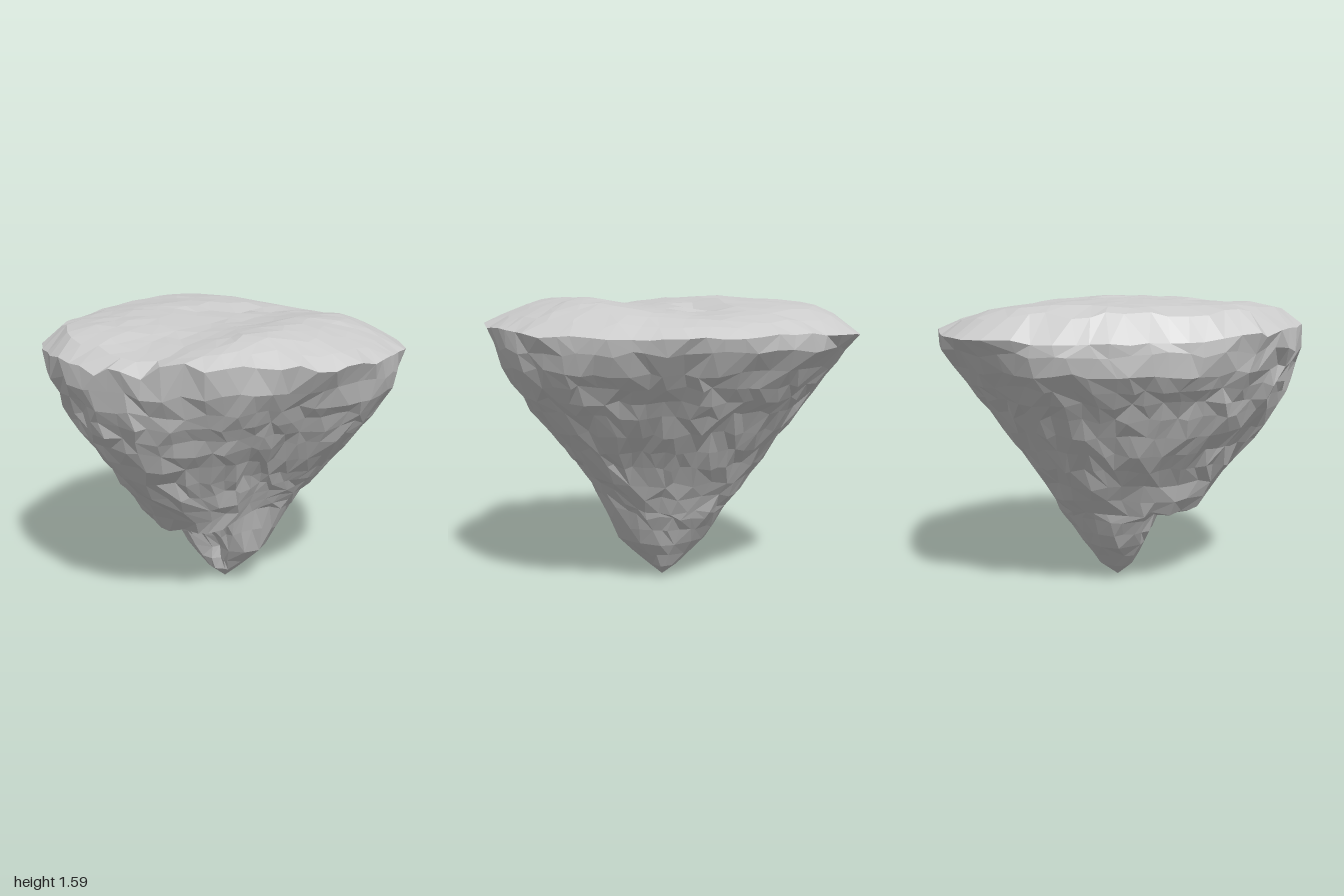
import * as THREE from 'three';

const SEG = 64;

// Rim radius every 15 degrees, from +x round through +z
const RIM = [0.96, 0.955, 0.92, 0.89, 0.965, 0.985, 1.0, 0.995, 1.0, 1.0, 0.97, 0.935,
  0.96, 0.985, 1.04, 1.12, 1.075, 1.02, 1.0, 0.99, 0.96, 0.95, 0.97, 0.955];
// Rim height every 30 degrees
const RIM_Y = [1.43, 1.46, 1.48, 1.44, 1.42, 1.4, 1.38, 1.39, 1.41, 1.41, 1.4, 1.41];

// Cliff sections: height, then radius every 30 degrees; the front overhangs at 0.4
const SECTIONS = [
  [0.07, 0.06, 0.05, 0.05, 0.05, 0.07, 0.1, 0.12, 0.12, 0.12, 0.13, 0.1, 0.07],
  [0.22, 0.24, 0.2, 0.1, 0.07, 0.14, 0.22, 0.27, 0.27, 0.25, 0.22, 0.21, 0.23],
  [0.39, 0.38, 0.29, 0.2, 0.19, 0.23, 0.31, 0.37, 0.38, 0.36, 0.32, 0.31, 0.34],
  [0.43, 0.41, 0.35, 0.37, 0.42, 0.44, 0.42, 0.4, 0.41, 0.39, 0.34, 0.33, 0.37],
  [0.6, 0.48, 0.42, 0.47, 0.56, 0.56, 0.51, 0.52, 0.53, 0.5, 0.44, 0.43, 0.47],
  [0.8, 0.58, 0.5, 0.58, 0.73, 0.7, 0.65, 0.66, 0.67, 0.64, 0.58, 0.56, 0.61],
  [1.0, 0.75, 0.64, 0.73, 0.87, 0.84, 0.78, 0.78, 0.81, 0.79, 0.73, 0.71, 0.77],
  [1.23, 0.9, 0.79, 0.87, 0.97, 0.95, 0.92, 0.94, 0.99, 0.97, 0.91, 0.88, 0.92],
  [1.33, 0.935, 0.85, 0.92, 0.985, 0.985, 0.95, 0.955, 1.03, 1.05, 0.98, 0.945, 0.945],
];

// Seeded value in -1..1
function noise(a, b, c = 0) {
  const s = Math.sin(a * 127.1 + b * 311.7 + c * 74.7) * 43758.5453;
  return (s - Math.floor(s)) * 2 - 1;
}

// Smooth periodic lookup, t in 0..1
function around(table, t) {
  const n = table.length, f = (((t % 1) + 1) % 1) * n, i = Math.floor(f), u = f - i;
  const [a, b, c, d] = [-1, 0, 1, 2].map((k) => table[(i + k + n) % n]);
  return b + 0.5 * u * (c - a + u * (2 * a - 5 * b + 4 * c - d + u * (3 * (b - c) + d - a)));
}

const polar = (t, r, y) => new THREE.Vector3(Math.cos(t * Math.PI * 2) * r, y, Math.sin(t * Math.PI * 2) * r);
const makeRing = (fn) => Array.from({ length: SEG }, (_, i) => fn(i));
// Strength of a lobe facing angle c
const lobe = (t, c, power) => Math.max(0, Math.cos(t * Math.PI * 2 - c)) ** power;

// Jagged rim point shared by cliff and ground
function rimPoint(i) {
  const t = (i + 0.25 * noise(i, 5)) / SEG;
  const jag = 0.01 + 0.025 * lobe(t, 1.3, 1);
  return polar(t, around(RIM, t) + 0.01 * noise(i, 9), around(RIM_Y, t) + jag * noise(i, 3));
}

// One cliff ring blended between two sections; fewer corners low down, rough front lump, smooth right wall
function cliffRing(lower, upper, u, id) {
  const y0 = lower[0] + (upper[0] - lower[0]) * u;
  const merge = y0 < 0.3 ? 4 : y0 < 0.7 ? 2 : 1;
  const rough = Math.min(1, y0 * 2);
  // the overhang climbs towards the right side
  const climb = 0.15 * Math.max(0, Math.min((y0 - 0.2) / 0.19, (0.8 - y0) / 0.37, 1));
  return makeRing((i) => {
    const k = i - (i % merge), t = (k + 0.3 * merge * noise(k, id, 1)) / SEG;
    const r0 = around(lower.slice(1), t), r1 = around(upper.slice(1), t);
    const bump = 0.007 + 0.013 * lobe(t, 1.85, 3) - 0.005 * lobe(t, 0.5, 3);
    const r = r0 + (r1 - r0) * u + rough * bump * noise(k, id, 4);
    return polar(t, r, y0 + climb * lobe(t, 0.2, 4) + rough * 0.018 * noise(k, id, 6));
  });
}

// Rolling ground height with two ridges and a crease between them
function groundHeight(x, z) {
  const hill = (cx, cz, w, d, h) => h * Math.exp(-(((x - cx) / w) ** 2) - (((z - cz) / d) ** 2));
  const crease = x + 0.08 - 0.3 * (-0.33 - z);
  return 1.54 + hill(-0.35, 0.05, 0.28, 0.6, 0.05) + hill(0.47, 0.1, 0.2, 0.55, 0.05)
    + hill(-0.65, -0.4, 0.25, 0.3, 0.015) + hill(-0.45, 0.7, 0.3, 0.2, 0.01)
    - hill(0.1, -0.8, 0.7, 0.3, 0.045) - hill(0.12, 0.85, 0.25, 0.3, 0.05)
    - 0.045 * Math.exp(-((crease / 0.09) ** 2) - (((z + 0.33) / 0.25) ** 2));
}

// Flat-shaded mesh from points and triangle corners
function facetMesh(name, points, index) {
  const geo = new THREE.BufferGeometry().setFromPoints(points);
  geo.setIndex(index);
  const flat = geo.toNonIndexed();
  flat.computeVertexNormals();
  const mesh = new THREE.Mesh(flat, new THREE.MeshStandardMaterial({ color: 0xcccccc, flatShading: true }));
  mesh.name = name;
  return mesh;
}

// Tapering cliff, from the pointed foot up to the rim
function makeCliff(rim) {
  const rings = [makeRing(() => new THREE.Vector3(-0.02, 0, -0.02))];
  SECTIONS.forEach((section, s) => {
    const next = SECTIONS[s + 1] || section;
    const steps = Math.max(1, Math.round((next[0] - section[0]) / 0.085));
    for (let k = 0; k < steps; k++) rings.push(cliffRing(section, next, k / steps, rings.length));
  });
  rings.push(rim);
  const index = [];
  for (let j = 0; j < rings.length - 1; j++) {
    for (let i = 0; i < SEG; i++) {
      const a = j * SEG + i, b = j * SEG + (i + 1) % SEG, c = a + SEG, d = b + SEG;
      if (noise(i, j, 2) > 0) index.push(a, c, b, b, c, d);
      else index.push(a, c, d, a, d, b);
    }
  }
  return facetMesh('cliff', rings.flat(), index);
}

// Rolling ground: a square grid wrapped onto the rim outline
function makeGround(rim) {
  const n = SEG / 4, half = n / 2, points = [], index = [];
  for (let j = 0; j <= n; j++) {
    for (let i = 0; i <= n; i++) {
      const edge = i === 0 || j === 0 || i === n || j === n;
      const wob = edge ? 0 : 0.25;
      const u = (i + wob * noise(i, j, 1)) / half - 1, v = (j + wob * noise(i, j, 2)) / half - 1;
      const f = Math.max(Math.abs(u), Math.abs(v));
      // position round the rim, in rim steps
      let k = Math.abs(u) >= Math.abs(v) ? half * (v / u) + (u < 0 ? 2 * n : 0)
        : n - half * (u / v) + (v < 0 ? 2 * n : 0);
      if (edge) k = Math.round(k);
      k = (k + SEG) % SEG;
      const k0 = Math.floor(k);
      const p = rim[k0].clone().lerp(rim[(k0 + 1) % SEG], k - k0);
      const g = f ** 0.9, x = p.x * g, z = p.z * g;
      // the shoulder is steeper on the left and front
      const shoulder = 0.27 + 0.08 * p.x - 0.06 * p.z;
      const ease = 1 - (1 - Math.min(1, (1 - g) / shoulder)) ** 2;
      const y = p.y + (groundHeight(x, z) + 0.005 * noise(i, j, 3) - p.y) * ease;
      points.push(new THREE.Vector3(x, y, z));
      if (i === n || j === n) continue;
      const a = j * (n + 1) + i, b = a + 1, c = a + n + 1, d = c + 1;
      if ((i < half) === (j < half)) index.push(a, c, d, a, d, b);
      else index.push(a, c, b, b, c, d);
    }
  }
  return facetMesh('ground', points, index);
}

export function createModel() {
  const group = new THREE.Group();
  group.name = 'floatingRock';
  const rim = makeRing(rimPoint);
  group.add(makeCliff(rim), makeGround(rim));
  return group;
}
